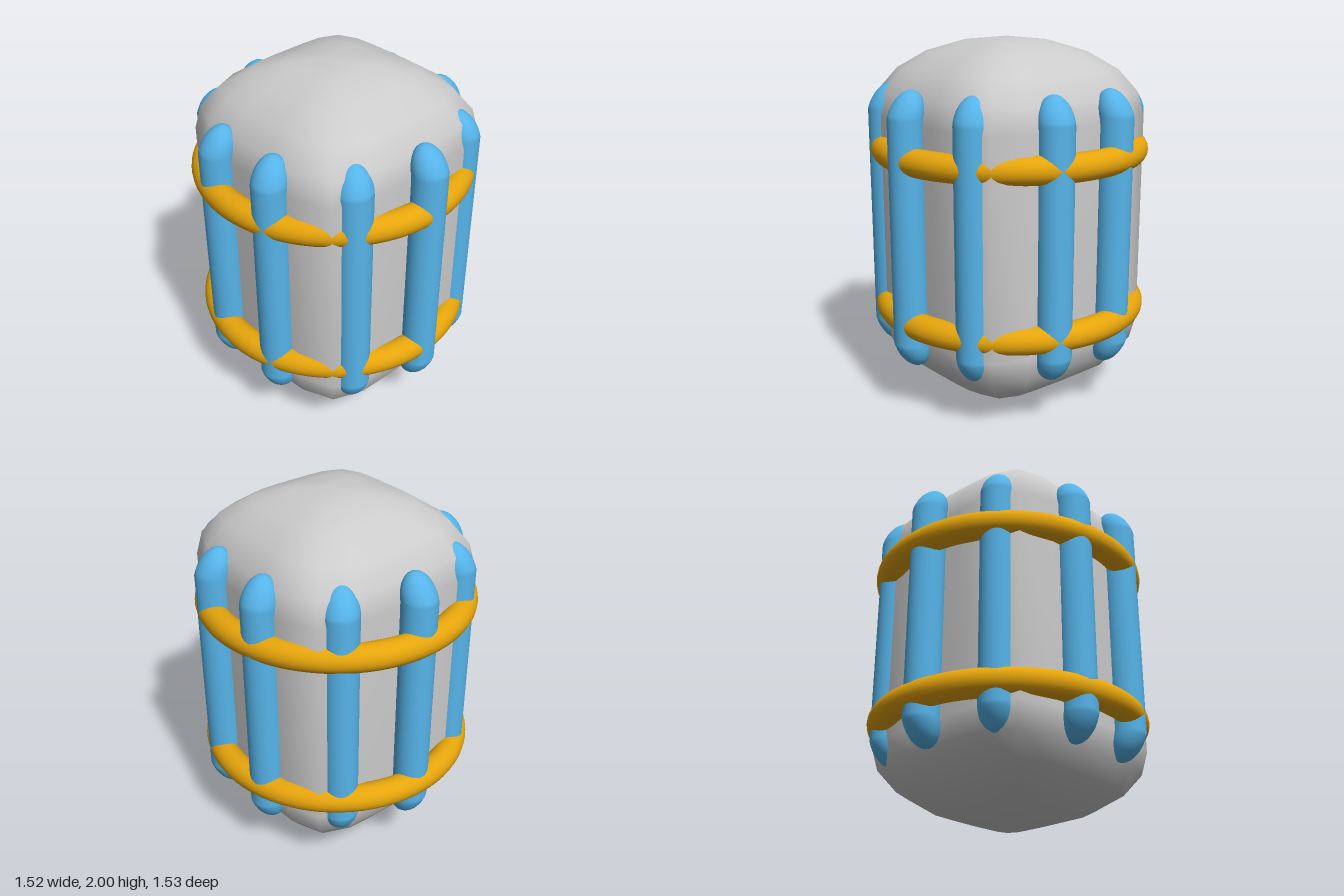
import * as THREE from 'three';
import { mergeVertices } from 'three/addons/utils/BufferGeometryUtils.js';

const grey = new THREE.MeshStandardMaterial({ color: 0xcccccc });
const blue = new THREE.MeshStandardMaterial({ color: 0x56b4e9 });
const orange = new THREE.MeshStandardMaterial({ color: 0xe6a50c });

// Rebuild smooth normals across seams after vertices have been moved
function smooth(geometry) {
  geometry.deleteAttribute('uv');
  geometry.deleteAttribute('normal');
  const merged = mergeVertices(geometry, 1e-4);
  merged.computeVertexNormals();
  return merged;
}

// Capsule-like shell: a lathe whose round plan is pushed out to a rounded square
function shellGeometry() {
  const half = 0.612, steps = 5, power = 4.6;
  const profile = [];
  for (let i = 0; i <= steps; i++) {
    const a = (i / steps) * Math.PI / 2;
    profile.push(new THREE.Vector2(half * Math.sin(a), 0.42 - 0.415 * Math.cos(a)));
  }
  for (let i = steps; i >= 0; i--) {
    const a = (i / steps) * Math.PI / 2;
    profile.push(new THREE.Vector2(half * Math.sin(a), 1.58 + 0.42 * Math.cos(a)));
  }
  const geometry = new THREE.LatheGeometry(profile, 24);
  const p = geometry.attributes.position;
  for (let i = 0; i < p.count; i++) {
    const x = p.getX(i), z = p.getZ(i), r = Math.hypot(x, z);
    if (r < 1e-6) continue;
    const k = Math.pow(Math.abs(x / r) ** power + Math.abs(z / r) ** power, -1 / power);
    p.setX(i, x * k);
    p.setZ(i, z * k);
  }
  return smooth(geometry);
}

// Upright rib: long capsule with stretched tips that lean in towards the shell
function ribGeometry() {
  const radius = 0.095, halfLength = 0.6, tip = 0.145, lean = 0.038;
  const geometry = new THREE.CapsuleGeometry(radius, halfLength * 2, 10, 24);
  const p = geometry.attributes.position;
  for (let i = 0; i < p.count; i++) {
    const y = p.getY(i);
    const t = Math.max(0, Math.abs(y) - halfLength) / radius;
    if (t > 0) p.setY(i, Math.sign(y) * (halfLength + t * tip));
    p.setZ(i, p.getZ(i) - lean * t);
  }
  return smooth(geometry);
}

export function createModel() {
  const model = new THREE.Group();
  model.name = 'ribbedCapsule';

  const shell = new THREE.Mesh(shellGeometry(), grey);
  shell.name = 'shell';
  shell.position.z = 0.014;
  model.add(shell);

  // Ten ribs evenly spaced around the shell
  const ribs = new THREE.Group();
  ribs.name = 'ribs';
  ribs.position.set(0, 1.015, 0.012);
  const ribShape = ribGeometry();
  for (let i = 0; i < 10; i++) {
    const a = (i / 10) * Math.PI * 2;
    const rib = new THREE.Mesh(ribShape, blue);
    rib.name = `rib${i + 1}`;
    rib.position.set(0.66 * Math.sin(a), 0, 0.66 * Math.cos(a));
    rib.rotation.y = a;
    ribs.add(rib);
  }
  model.add(ribs);

  // Two hoops holding the ribs
  const hoopShape = new THREE.TorusGeometry(0.687, 0.074, 20, 80).rotateX(Math.PI / 2);
  for (const [name, y] of [['lowerHoop', 0.522], ['upperHoop', 1.403]]) {
    const hoop = new THREE.Mesh(hoopShape, orange);
    hoop.name = name;
    hoop.position.set(0, y, -0.006);
    model.add(hoop);
  }
  return model;
}
